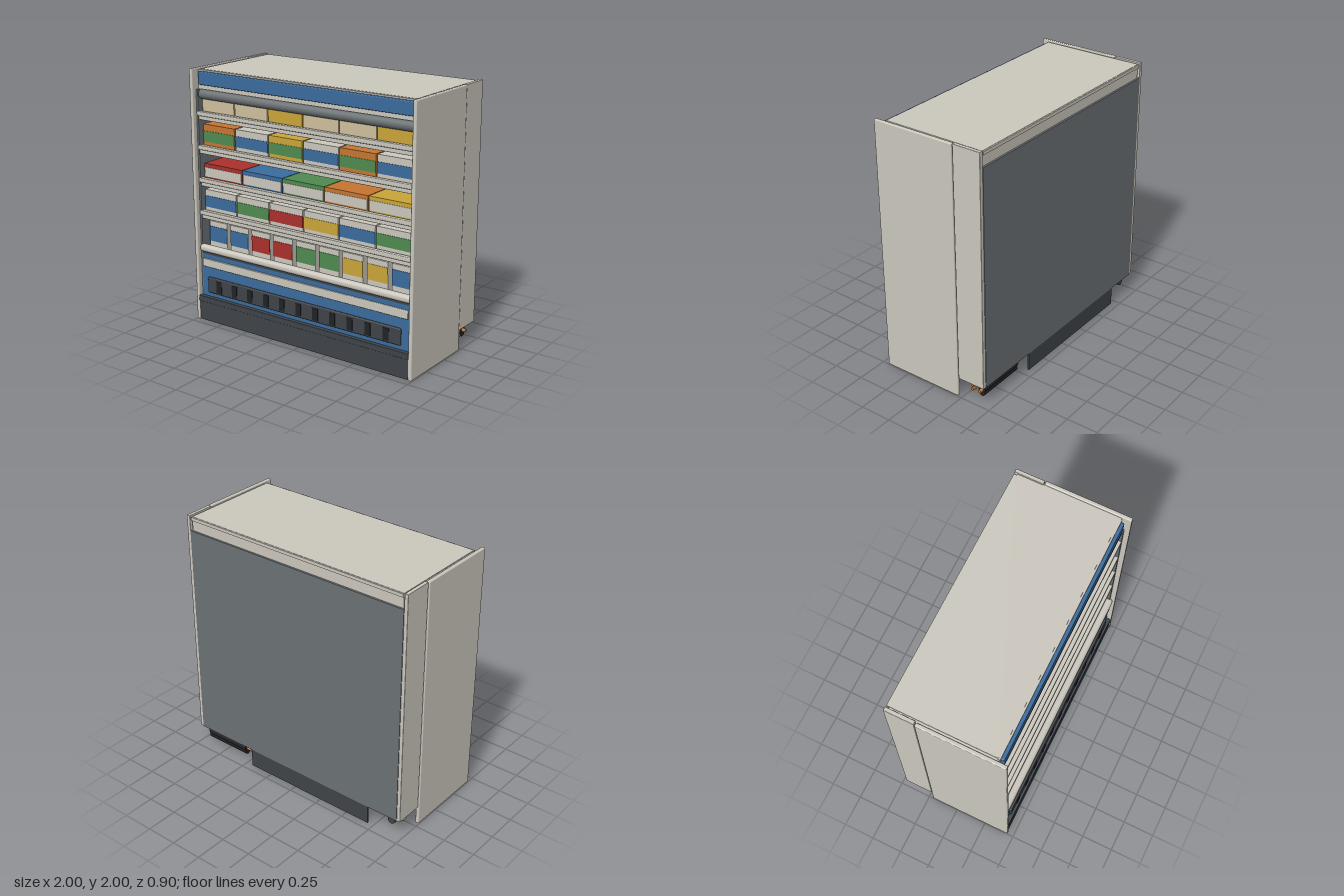
import * as THREE from 'three';
import { RoundedBoxGeometry } from 'three/addons/geometries/RoundedBoxGeometry.js';

const palette = {
  offWhite: 0xcbc7bd, blue: 0x3a6c9e, red: 0xab302c, green: 0x4f8a50, orange: 0xc57532,
  yellow: 0xc9a539, tan: 0xcfbf9b, charcoal: 0x3f4448, grey: 0x6b7174, black: 0x202224,
};

export function createModel() {
  const cabinet = new THREE.Group();
  cabinet.name = 'displayFridge';
  const mats = {};
  for (const [name, color] of Object.entries(palette)) {
    mats[name] = new THREE.MeshStandardMaterial({ color });
    mats[name].name = name;
  }

  const add = (name, geometry, mat, parent = cabinet) => {
    const mesh = new THREE.Mesh(geometry, mats[mat]);
    mesh.name = name;
    parent.add(mesh);
    return mesh;
  };
  // Box from its limits on each axis, optionally with rounded edges
  const box = (name, mat, [x0, x1], [y0, y1], [z0, z1], parent, radius = 0) => {
    const size = [x1 - x0, y1 - y0, z1 - z0];
    const geo = radius ? new RoundedBoxGeometry(...size, 2, radius) : new THREE.BoxGeometry(...size);
    const mesh = add(name, geo, mat, parent);
    mesh.position.set((x0 + x1) / 2, (y0 + y1) / 2, (z0 + z1) / 2);
    return mesh;
  };
  // Cylinder lying along x
  const bar = (name, mat, x0, x1, y, z, r, parent, sides = 20) => {
    const mesh = add(name, new THREE.CylinderGeometry(r, r, x1 - x0, sides), mat, parent);
    mesh.rotation.z = Math.PI / 2;
    mesh.position.set((x0 + x1) / 2, y, z);
    return mesh;
  };
  const group = (name) => {
    const g = new THREE.Group();
    g.name = name;
    cabinet.add(g);
    return g;
  };

  // Side panels: long front section and shorter rear section
  for (const s of [-1, 1]) {
    const span = (a, b) => (s > 0 ? [a, b] : [-b, -a]);
    const side = group(s > 0 ? 'leftSide' : 'rightSide');
    box('frontSidePanel', 'offWhite', span(0.968, 0.998), [0, 2], [-0.217, 0.45], side, 0.008);
    box('rearSidePanel', 'offWhite', span(0.962, 0.992), [0.155, 2], [-0.448, -0.223], side, 0.004);
    box('sideLiner', 'grey', span(0.952, 0.97), [0.2, 1.84], [-0.43, 0.41], side);
    box('topCornerTrim', 'offWhite', span(0.95, 0.97), [1.84, 1.985], [-0.425, 0.38], side);
  }

  // Canopy, header and night blind
  box('canopy', 'offWhite', [-0.95, 0.95], [1.85, 1.992], [-0.435, 0.37]);
  box('canopyRearLip', 'offWhite', [-0.95, 0.95], [1.965, 1.99], [-0.446, -0.43]);
  box('headerFrame', 'offWhite', [-0.955, 0.955], [1.842, 1.99], [0.365, 0.385]);
  box('headerPanel', 'blue', [-0.945, 0.945], [1.878, 1.98], [0.38, 0.41], cabinet, 0.008);
  bar('nightBlind', 'grey', -0.95, 0.95, 1.802, 0.365, 0.038);

  // Rear panel and inner back wall
  box('rearPanel', 'grey', [-0.962, 0.962], [0.155, 1.882], [-0.45, -0.41]);
  box('innerBackWall', 'grey', [-0.96, 0.96], [0.5, 1.85], [-0.25, -0.23]);

  // Base: tub, front apron, bumper, plinth
  box('baseTub', 'grey', [-0.955, 0.955], [0.16, 0.57], [-0.42, 0.39]);
  box('undersidePlate', 'black', [-0.967, 0.967], [0.148, 0.16], [-0.44, 0.43]);
  box('apron', 'blue', [-0.95, 0.95], [0.19, 0.548], [0.39, 0.415]);
  box('apronTrim', 'offWhite', [-0.945, 0.945], [0.445, 0.512], [0.41, 0.427], cabinet, 0.006);
  box('bumperSeat', 'charcoal', [-0.95, 0.95], [0.545, 0.57], [0.38, 0.415]);
  box('bumper', 'offWhite', [-0.968, 0.968], [0.565, 0.622], [0.375, 0.437], cabinet, 0.025);
  box('plinthLedge', 'charcoal', [-0.972, 0.972], [0.157, 0.203], [0.4, 0.449], cabinet, 0.005);
  box('kickPlate', 'charcoal', [-0.967, 0.967], [0.004, 0.157], [0.425, 0.443]);
  box('rearKickPlate', 'charcoal', [-0.7, 0.44], [0.004, 0.155], [-0.446, -0.432]);

  // Ventilation grille with slots
  const grille = group('grille');
  box('grillePlate', 'charcoal', [-0.89, 0.89], [0.238, 0.366], [0.41, 0.434], grille, 0.008);
  for (let i = 0; i < 11; i++) {
    const x = (i - 5) * 0.1545;
    box('ventSlot', 'black', [x - 0.025, x + 0.025], [0.252, 0.348], [0.43, 0.438], grille);
  }

  // Shelves with double price rails
  for (const y of [1.675, 1.412, 1.155, 0.895]) {
    const shelf = group('shelf');
    box('shelfPlate', 'offWhite', [-0.948, 0.948], [y - 0.035, y - 0.012], [-0.23, 0.39], shelf);
    box('upperRail', 'offWhite', [-0.965, 0.965], [y - 0.034, y], [0.375, 0.412], shelf, 0.006);
    box('lowerRail', 'offWhite', [-0.953, 0.953], [y - 0.066, y - 0.034], [0.375, 0.405], shelf, 0.004);
    box('railGroove', 'charcoal', [-0.953, 0.953], [y - 0.037, y - 0.031], [0.38, 0.4075], shelf);
  }

  // Rows of packages: body colours, with optional label colours on the front
  const row = (name, { pitch, width, y, z, bodies, labels, labelY, inset = 0 }) => {
    const g = group(name);
    bodies.forEach((body, i) => {
      const x = (i - (bodies.length - 1) / 2) * pitch;
      box('package', body, [x - width / 2, x + width / 2], y, [z - 0.4, z], g);
      const half = width / 2 - inset;
      if (labels) box('label', labels[i], [x - half, x + half], labelY, [z - 0.002, z + 0.004], g);
    });
    return g;
  };
  const fill = (n, c) => Array(n).fill(c);

  row('topPackages', {
    pitch: 0.317, width: 0.307, y: [1.66, 1.765], z: 0.365,
    bodies: ['tan', 'tan', 'yellow', 'tan', 'tan', 'yellow'],
  });
  row('upperPackages', {
    pitch: 0.317, width: 0.306, y: [1.4, 1.57], z: 0.365,
    bodies: ['orange', 'offWhite', 'yellow', 'offWhite', 'orange', 'offWhite'],
    labels: ['green', 'blue', 'green', 'blue', 'green', 'blue'], labelY: [1.435, 1.518],
  });
  row('middlePackages', {
    pitch: 0.38, width: 0.373, y: [1.143, 1.262], z: 0.365,
    bodies: ['red', 'blue', 'green', 'orange', 'yellow'],
    labels: fill(5, 'offWhite'), labelY: [1.16, 1.232], inset: 0.006,
  });
  row('lowerPackages', {
    pitch: 0.317, width: 0.306, y: [0.883, 1.055], z: 0.365,
    bodies: fill(6, 'offWhite'),
    labels: ['blue', 'green', 'red', 'yellow', 'blue', 'green'], labelY: [0.917, 1.006],
  });
  const cartonColours = ['blue', 'blue', 'red', 'red', 'green', 'green', 'yellow', 'yellow', 'blue'];
  const cartons = row('cartons', {
    pitch: 0.2115, width: 0.178, y: [0.565, 0.798], z: 0.34,
    bodies: fill(9, 'offWhite'), labels: cartonColours, labelY: [0.635, 0.755], inset: 0.002,
  });
  cartonColours.forEach((colour, i) => {
    const cap = add('cartonCap', new THREE.CylinderGeometry(0.03, 0.03, 0.03, 16), colour, cartons);
    cap.position.set((i - 4) * 0.2115, 0.812, 0.25);
  });

  // Drain trap under the rear
  const drain = group('drain');
  const trapPath = new THREE.CatmullRomCurve3([
    [0.155, -0.238], [0.09, -0.238], [0.05, -0.25], [0.04, -0.275], [0.055, -0.298],
    [0.09, -0.31], [0.105, -0.335], [0.105, -0.39],
  ].map(([y, z]) => new THREE.Vector3(-0.89, y, z)));
  add('trapPipe', new THREE.TubeGeometry(trapPath, 40, 0.024, 14), 'offWhite', drain);
  const collar = add('trapCollar', new THREE.CylinderGeometry(0.03, 0.03, 0.022, 16), 'offWhite', drain);
  collar.position.set(-0.89, 0.13, -0.238);
  const outlet = add('drainOutlet', new THREE.CylinderGeometry(0.032, 0.032, 0.03, 16), 'charcoal', drain);
  outlet.rotation.x = Math.PI / 2;
  outlet.position.set(-0.89, 0.105, -0.395);

  // Refrigerant pipes: insulated line and copper lines
  const pipes = group('refrigerantPipes');
  bar('insulatedPipe', 'black', 0.54, 0.93, 0.1, -0.385, 0.032, pipes);
  bar('insulatedPipe', 'black', 0.54, 0.93, 0.066, -0.385, 0.028, pipes);
  bar('suctionStub', 'orange', 0.5, 0.96, 0.09, -0.385, 0.014, pipes, 12);
  for (const y of [0.075, 0.11]) bar('copperPipe', 'orange', 0.52, 0.95, y, -0.312, 0.012, pipes, 12);
  for (const x of [0.55, 0.92]) {
    const riser = add('copperRiser', new THREE.CylinderGeometry(0.012, 0.012, 0.09, 12), 'orange', pipes);
    riser.position.set(x, 0.108, -0.312);
  }

  return cabinet;
}
